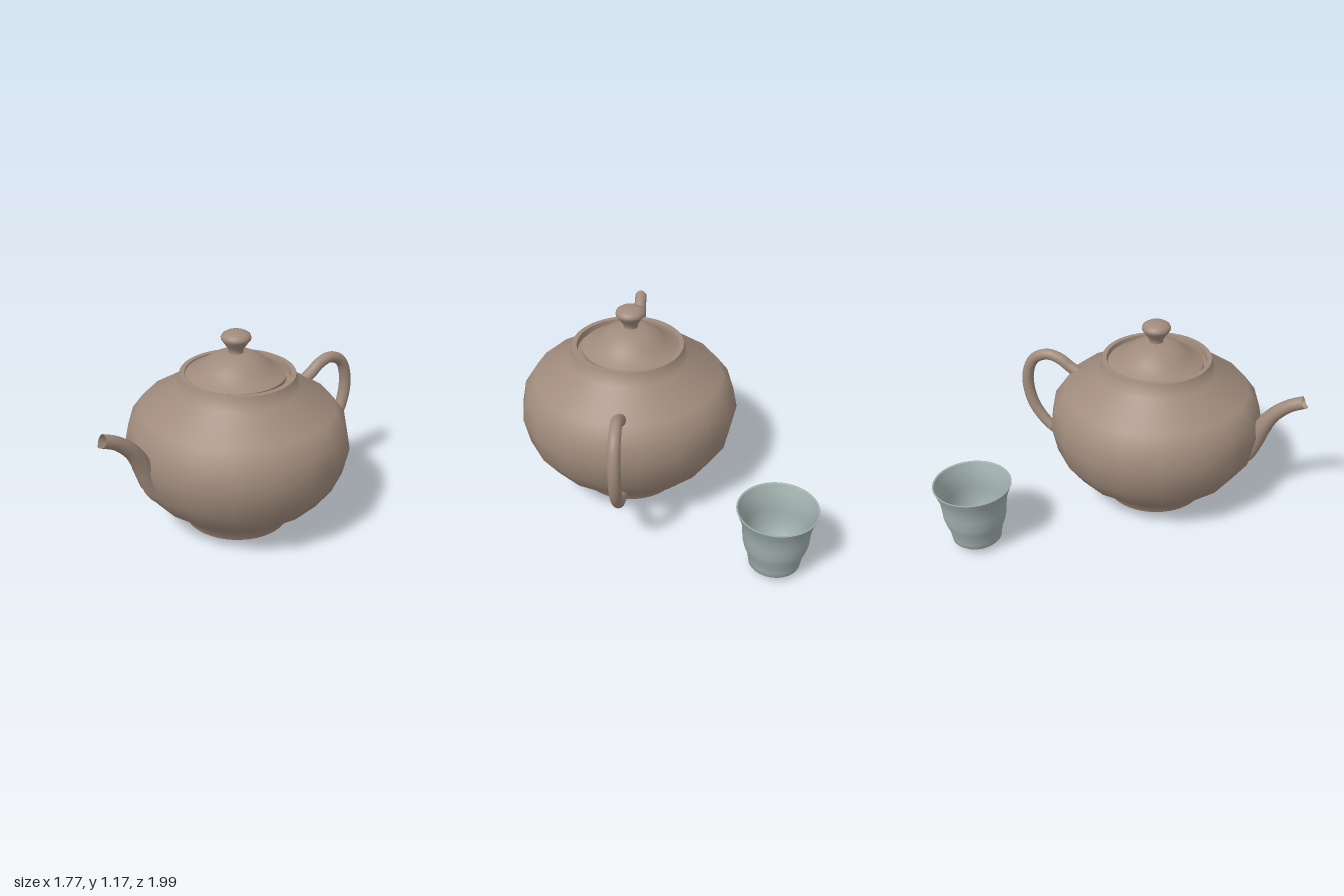
import * as THREE from 'three';

const clay = new THREE.MeshStandardMaterial({ color: 0xa08b7c, side: THREE.DoubleSide });
const glaze = new THREE.MeshStandardMaterial({ color: 0xa0b0ad, side: THREE.DoubleSide });

// Turned part: each profile is a smooth run, with a sharp edge between runs
function turned(name, profiles, material, segments = 72) {
  const group = new THREE.Group();
  group.name = name;
  for (const profile of profiles) {
    const points = profile.map(([r, y]) => new THREE.Vector2(r, y));
    group.add(new THREE.Mesh(new THREE.LatheGeometry(points, segments), material));
  }
  return group;
}

// Press the belly into 18 flat sides, keeping the foot and the neck round
function facetBelly(geometry, sides = 18) {
  const p = geometry.attributes.position;
  const step = (Math.PI * 2) / sides;
  for (let i = 0; i < p.count; i++) {
    const x = p.getX(i), y = p.getY(i), z = p.getZ(i);
    if (y < 0.1 || y > 0.8) continue;
    const a = Math.atan2(z, x) + Math.PI * 2;
    const f = Math.cos(step / 2) / Math.cos((a % step) - step / 2);
    p.setXYZ(i, x * f, y, z * f);
  }
}

// Tapered tube in the x = 0 plane; path holds [z, y], radii are spread along it
function taperedTube(name, path, radii, lip = 0) {
  const curve = new THREE.CatmullRomCurve3(path.map(([z, y]) => new THREE.Vector3(0, y, z)));
  const rings = 48, sides = 20;
  const geometry = new THREE.TubeGeometry(curve, rings, 1, sides, false);
  const p = geometry.attributes.position;
  const v = new THREE.Vector3();
  for (let i = 0; i <= rings; i++) {
    const u = i / rings;
    const centre = curve.getPointAt(u);
    const tangent = curve.getTangentAt(u);
    const t = u * (radii.length - 1);
    const k = Math.min(Math.floor(t), radii.length - 2);
    const radius = THREE.MathUtils.lerp(radii[k], radii[k + 1], t - k);
    for (let j = 0; j <= sides; j++) {
      const n = i * (sides + 1) + j;
      v.fromBufferAttribute(p, n).sub(centre);
      // the mouth dips back at both sides
      const dip = i === rings ? -lip * v.x * v.x : 0;
      v.multiplyScalar(radius).add(centre).addScaledVector(tangent, dip);
      p.setXYZ(n, v.x, v.y, v.z);
    }
  }
  const mesh = new THREE.Mesh(geometry, clay);
  mesh.name = name;
  return mesh;
}

export function createModel() {
  const model = new THREE.Group();
  model.name = 'teaSet';

  const teapot = new THREE.Group();
  teapot.name = 'teapot';
  teapot.position.set(0.228, 0, 0.065);
  model.add(teapot);

  // Base, belly with neck, and the rim with the ledge under the lid
  const body = turned('body', [
    [[0, 0], [0.31, 0]],
    [[0.31, 0], [0.335, 0.06], [0.525, 0.21], [0.62, 0.345], [0.655, 0.51],
      [0.63, 0.64], [0.565, 0.73], [0.355, 0.85], [0.33, 0.93]],
    [[0.33, 0.93], [0.302, 0.93]],
    [[0.302, 0.93], [0.296, 0.895]],
    [[0.296, 0.895], [0.2, 0.885]],
  ], clay);
  facetBelly(body.children[1].geometry);
  teapot.add(body);

  // Lid with a flared edge and a knob
  const lid = turned('lid', [
    [[0.2, 0.89], [0.287, 0.895]],
    [[0.287, 0.895], [0.287, 0.918]],
    [[0.287, 0.918], [0.26, 0.93], [0.225, 0.948], [0.193, 0.975], [0.155, 1.006],
      [0.11, 1.03], [0.07, 1.041], [0, 1.05]],
  ], clay);
  const knob = turned('knob', [
    [[0.045, 1.03], [0.04, 1.052], [0.05, 1.075], [0.07, 1.105], [0.084, 1.123],
      [0.086, 1.135], [0.08, 1.15], [0.06, 1.163], [0.03, 1.17], [0, 1.171]],
  ], clay, 40);
  lid.position.x = knob.position.x = -0.018;
  teapot.add(lid, knob);

  // Spout and handle, with z measured from the middle of the model
  const limbs = new THREE.Group();
  limbs.name = 'spoutAndHandle';
  limbs.position.z = -0.065;
  limbs.add(taperedTube('spout',
    [[0.6, 0.29], [0.645, 0.35], [0.69, 0.46], [0.73, 0.56], [0.79, 0.66], [0.88, 0.74], [0.975, 0.785]],
    [0.035, 0.052, 0.056, 0.052, 0.044, 0.039, 0.038], 0.025));
  limbs.add(taperedTube('handle',
    [[-0.42, 0.72], [-0.5, 0.765], [-0.565, 0.81], [-0.65, 0.829], [-0.745, 0.78], [-0.793, 0.645],
      [-0.762, 0.46], [-0.665, 0.325], [-0.55, 0.25], [-0.44, 0.205]],
    [0.036, 0.035, 0.034, 0.035, 0.037, 0.036, 0.034, 0.032, 0.03]));
  teapot.add(limbs);

  // Cup: underside with foot ring, outer wall, lip, and inside
  const cup = turned('cup', [
    [[0, 0.06], [0.11, 0.06], [0.12, 0.03], [0.132, 0.03]],
    [[0.132, 0.03], [0.145, 0.042], [0.149, 0.07], [0.157, 0.115], [0.174, 0.16], [0.185, 0.205],
      [0.189, 0.26], [0.195, 0.32], [0.212, 0.37], [0.228, 0.412]],
    [[0.228, 0.412], [0.226, 0.417], [0.218, 0.412]],
    [[0.218, 0.412], [0.202, 0.37], [0.184, 0.32], [0.177, 0.26], [0.172, 0.205], [0.16, 0.16],
      [0.143, 0.115], [0.12, 0.09], [0, 0.08]],
  ], glaze, 48);
  cup.position.set(-0.657, 0, -0.772);
  model.add(cup);

  return model;
}
